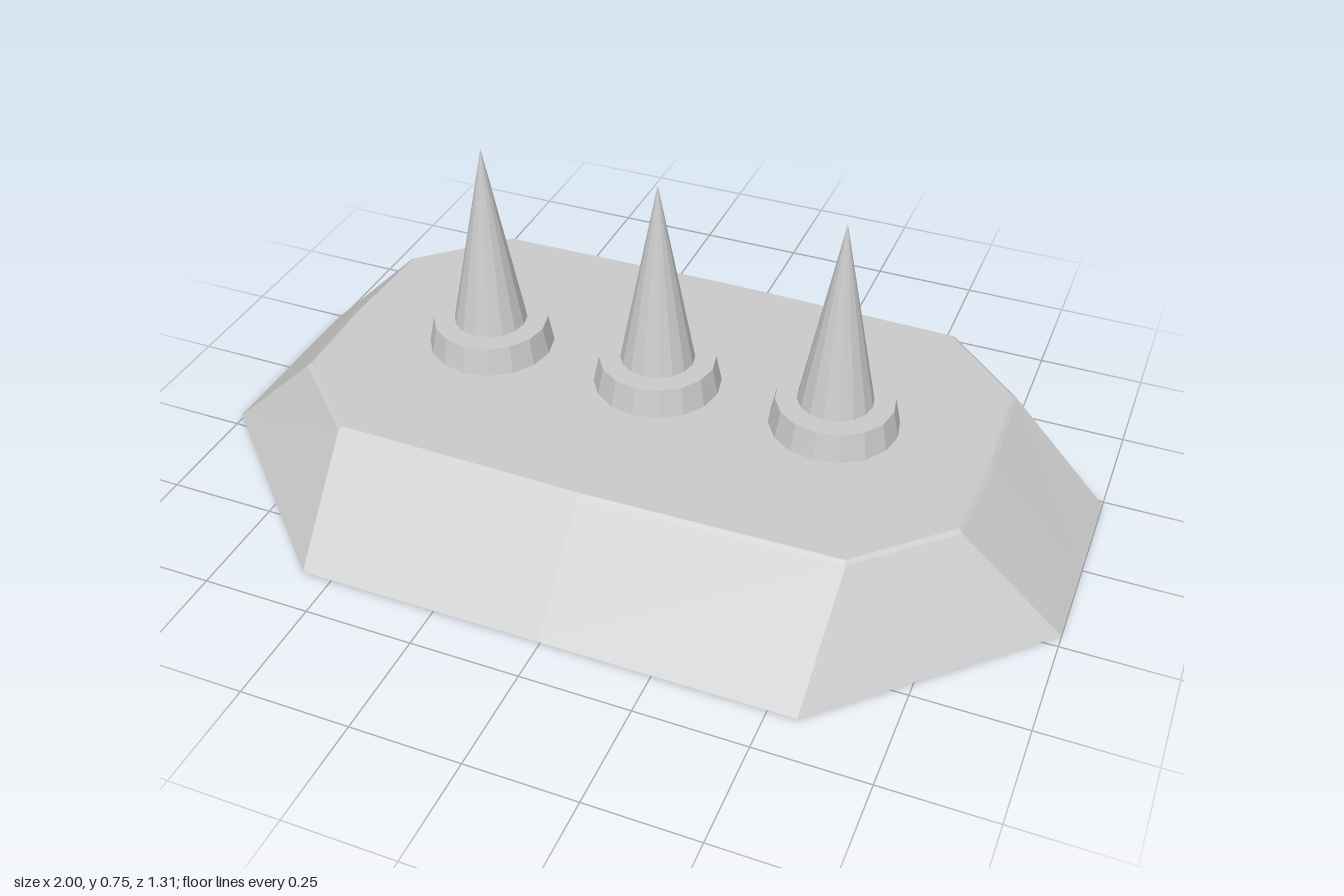
import * as THREE from 'three';

const material = new THREE.MeshStandardMaterial({ color: 0xcccccc, flatShading: true });

// Mirror one quarter outline [mid side, corner, corner, mid front] into a full ring
function ring(y, [side, a, b, front]) {
  const points = [];
  const add = (p, sx, sz) => points.push([p[0] * sx, y, p[1] * sz]);
  add(side, 1, 1); add(a, 1, 1); add(b, 1, 1);
  add(front, 1, 1); add(b, -1, 1); add(a, -1, 1);
  add(side, -1, 1); add(a, -1, -1); add(b, -1, -1);
  add(front, 1, -1); add(b, 1, -1); add(a, 1, -1);
  return points;
}

// Skin stacked rings, closed with a flat cap at both ends
function loft(rings) {
  const n = rings[0].length;
  const last = rings.length - 1;
  const position = rings.flat(2);
  const index = [];
  for (let r = 0; r < last; r++) {
    for (let i = 0; i < n; i++) {
      const j = (i + 1) % n;
      const a = r * n + i, b = r * n + j;
      index.push(a, a + n, b, b, a + n, b + n);
    }
  }
  const bottom = n * rings.length, top = bottom + 1;
  position.push(0, rings[0][0][1], 0, 0, rings[last][0][1], 0);
  for (let i = 0; i < n; i++) {
    const j = (i + 1) % n;
    index.push(bottom, i, j, top, last * n + j, last * n + i);
  }
  const indexed = new THREE.BufferGeometry();
  indexed.setAttribute('position', new THREE.Float32BufferAttribute(position, 3));
  indexed.setIndex(index);
  const geometry = indexed.toNonIndexed();
  geometry.computeVertexNormals();
  return geometry;
}

function addMesh(parent, name, geometry, y = 0) {
  const mesh = new THREE.Mesh(geometry, material);
  mesh.name = name;
  mesh.position.y = y;
  parent.add(mesh);
}

export function createModel() {
  const model = new THREE.Group();
  model.name = 'spikedBase';

  // Sloped eight-sided base with a thin foot and a softened top edge
  addMesh(model, 'base', loft([
    ring(0, [[0.99, 0], [0.99, 0.222], [0.557, 0.645], [0, 0.645]]),
    ring(0.01, [[1, 0], [1, 0.227], [0.565, 0.655], [0, 0.655]]),
    ring(0.234, [[0.782, 0], [0.773, 0.248], [0.582, 0.432], [0, 0.443]]),
    ring(0.241, [[0.773, 0], [0.764, 0.244], [0.577, 0.424], [0, 0.435]]),
  ]));

  // Row of three spikes, each standing in a tapered collar
  for (const x of [-0.42, 0, 0.42]) {
    const spike = new THREE.Group();
    spike.name = 'spike';
    spike.position.x = x;
    addMesh(spike, 'collar', new THREE.CylinderGeometry(0.133, 0.148, 0.075, 16), 0.2685);
    addMesh(spike, 'point', new THREE.ConeGeometry(0.087, 0.455, 16), 0.5225);
    model.add(spike);
  }
  return model;
}
